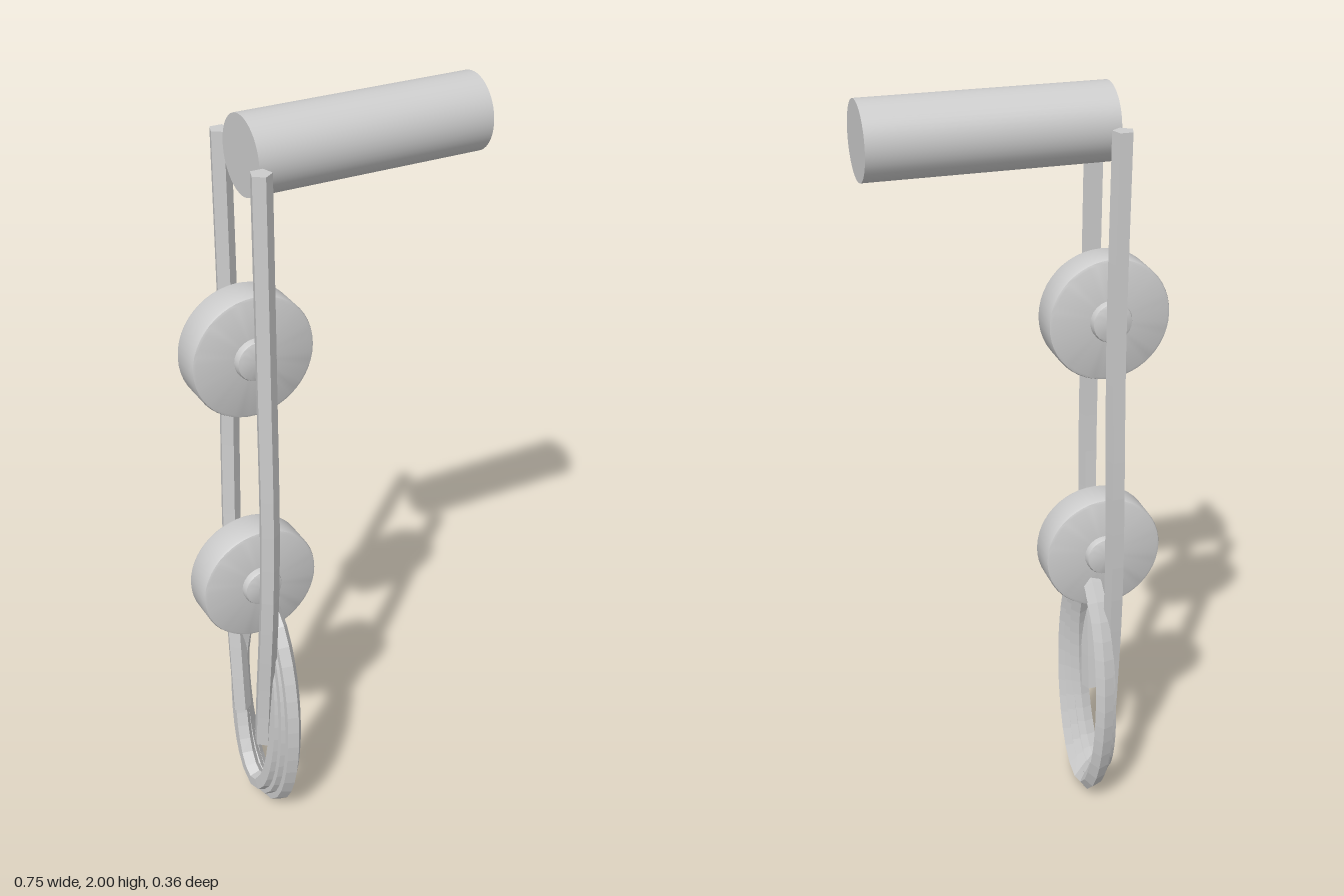
import * as THREE from 'three';
import { toCreasedNormals } from 'three/addons/utils/BufferGeometryUtils.js';

const SIDES = 5;

// Five-sided flat-shaded rope; open ropes get end caps
function ropeGeometry(points, segments, radius, closed) {
  const curve = new THREE.CatmullRomCurve3(points, closed);
  const tube = new THREE.TubeGeometry(curve, segments, radius, SIDES, closed);
  if (!closed) {
    const index = Array.from(tube.index.array);
    const last = segments * (SIDES + 1);
    for (let i = 1; i < SIDES - 1; i++) {
      index.push(0, i, i + 1, last, last + i + 1, last + i);
    }
    tube.setIndex(index);
  }
  const flat = tube.toNonIndexed();
  flat.computeVertexNormals();
  return flat;
}

// Disc with softened edges, axis along z
function discGeometry(radius, half, bevel, sides) {
  const profile = [
    [0, -half], [radius - bevel, -half], [radius - bevel * 0.3, -half + bevel * 0.3],
    [radius, -half + bevel], [radius, half - bevel],
    [radius - bevel * 0.3, half - bevel * 0.3], [radius - bevel, half], [0, half],
  ].map(([x, y]) => new THREE.Vector2(x, y));
  const lathe = new THREE.LatheGeometry(profile, sides);
  lathe.rotateX(Math.PI / 2);
  return toCreasedNormals(lathe, 0.7);
}

export function createModel() {
  const model = new THREE.Group();
  model.name = 'pulleyHoist';
  const grey = new THREE.MeshStandardMaterial({ color: 0xcccccc });
  grey.name = 'light grey';

  const add = (parent, name, geometry) => {
    const mesh = new THREE.Mesh(geometry, grey);
    mesh.name = name;
    parent.add(mesh);
    return mesh;
  };

  // Horizontal bar at the top
  const bar = add(model, 'bar', new THREE.CylinderGeometry(0.093, 0.093, 0.595, 48));
  bar.rotation.z = Math.PI / 2;
  bar.position.set(0.078, 1.907, 0);

  // Two pulley wheels, each with a hub
  [['upperPulley', 1.428], ['lowerPulley', 0.776]].forEach(([name, y]) => {
    const pulley = new THREE.Group();
    pulley.name = name;
    add(pulley, 'wheel', discGeometry(0.157, 0.046, 0.009, 48));
    add(pulley, 'hub', discGeometry(0.052, 0.067, 0.009, 24));
    pulley.position.set(-0.222, y, 0);
    model.add(pulley);
  });

  // Hanging ropes, curving inwards at the bottom
  const hanging = [[1.92, 0.14], [1.4, 0.14], [1.0, 0.139], [0.78, 0.128], [0.6, 0.11], [0.45, 0.092], [0.28, 0.075]];
  const ropes = [
    ['frontRope', 1, -0.239, -0.241],
    ['backRope', -1, -0.205, -0.235],
  ];
  ropes.forEach(([name, side, topX, endX]) => {
    const points = hanging.map(([y, z]) => {
      const t = THREE.MathUtils.smoothstep(1.92 - y, 0.5, 1.64);
      return new THREE.Vector3(THREE.MathUtils.lerp(topX, endX, t), y, side * z);
    });
    add(model, name, ropeGeometry(points, 16, 0.026, false));
  });

  // Coil of oval loops, leaning together at the top
  const coil = new THREE.Group();
  coil.name = 'ropeCoil';
  const loops = [
    { halfWidth: 0.118, bottom: 0.072, top: 0.655, lowX: -0.23, highX: -0.203 },
    { halfWidth: 0.137, bottom: 0.052, top: 0.678, lowX: -0.212, highX: -0.199 },
    { halfWidth: 0.157, bottom: 0.028, top: 0.7, lowX: -0.195, highX: -0.194 },
  ];
  loops.forEach(({ halfWidth, bottom, top, lowX, highX }, n) => {
    const points = [];
    for (let i = 0; i < 24; i++) {
      const a = (i / 24) * Math.PI * 2;
      const t = (1 - Math.cos(a)) / 2;
      points.push(new THREE.Vector3(
        THREE.MathUtils.lerp(lowX, highX, t),
        THREE.MathUtils.lerp(bottom, top, t),
        Math.sin(a) * halfWidth,
      ));
    }
    add(coil, `loop${n + 1}`, ropeGeometry(points, 32, 0.025, true));
  });
  model.add(coil);

  return model;
}
